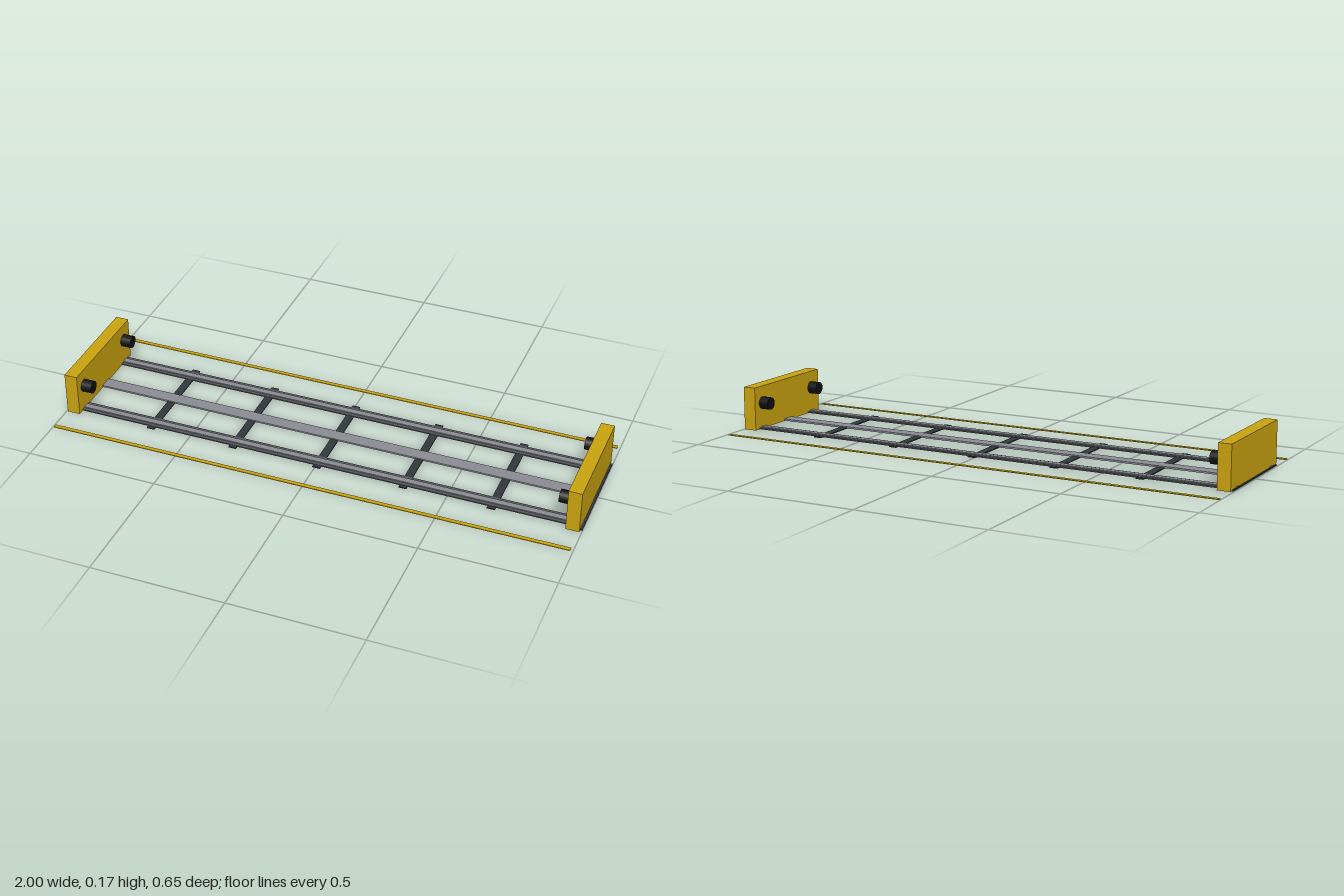
import * as THREE from 'three';

const mat = (name, color) => new THREE.MeshStandardMaterial({ name, color });

export function createModel() {
  const yellow = mat('safety yellow', 0xc8a20e);
  const steel = mat('rail steel', 0x8a8b93);
  const darkSteel = mat('dark rail foot', 0x54565a);
  const sleeperGrey = mat('sleeper grey', 0x32373c);
  const black = mat('buffer black', 0x101010);

  const model = new THREE.Group();
  model.name = 'trackSection';

  // Box given by its centre in x and z and its bottom and top in y
  const box = (name, material, x, z, y0, y1, w, d) => {
    const mesh = new THREE.Mesh(new THREE.BoxGeometry(w, y1 - y0, d), material);
    mesh.name = name;
    mesh.position.set(x, (y0 + y1) / 2, z);
    model.add(mesh);
  };

  // Cross sleepers
  for (const x of [-0.985, -0.655, -0.324, 0.007, 0.338, 0.668, 0.985])
    box('sleeper', sleeperGrey, x, 0, 0.0025, 0.0065, 0.03, 0.41);

  // Flat centre rail
  box('centreRail', steel, 0, 0, 0.004, 0.0105, 1.988, 0.05);

  for (const side of [-1, 1]) {
    // Running rails: wide dark foot with a narrow head
    box('railFoot', darkSteel, 0, side * 0.165, 0.003, 0.0075, 1.99, 0.052);
    box('railHead', steel, 0, side * 0.165, 0.0075, 0.011, 1.99, 0.024);

    // Painted edge lines beside the track
    box('edgeLine', yellow, -0.003, side * 0.316, 0, 0.003, 1.986, 0.016);

    // End stops
    box('endStop', yellow, side * 0.968 - 0.001, 0, 0.002, 0.167, 0.05, 0.43);

    // Cylindrical buffers on the inner face of each stop
    for (const z of [-0.165, 0.165]) {
      const buffer = new THREE.Mesh(new THREE.CylinderGeometry(0.024, 0.024, 0.045, 16), black);
      buffer.name = 'buffer';
      buffer.rotation.z = Math.PI / 2;
      buffer.position.set(side * 0.926, 0.102, z);
      model.add(buffer);
    }
  }
  return model;
}
